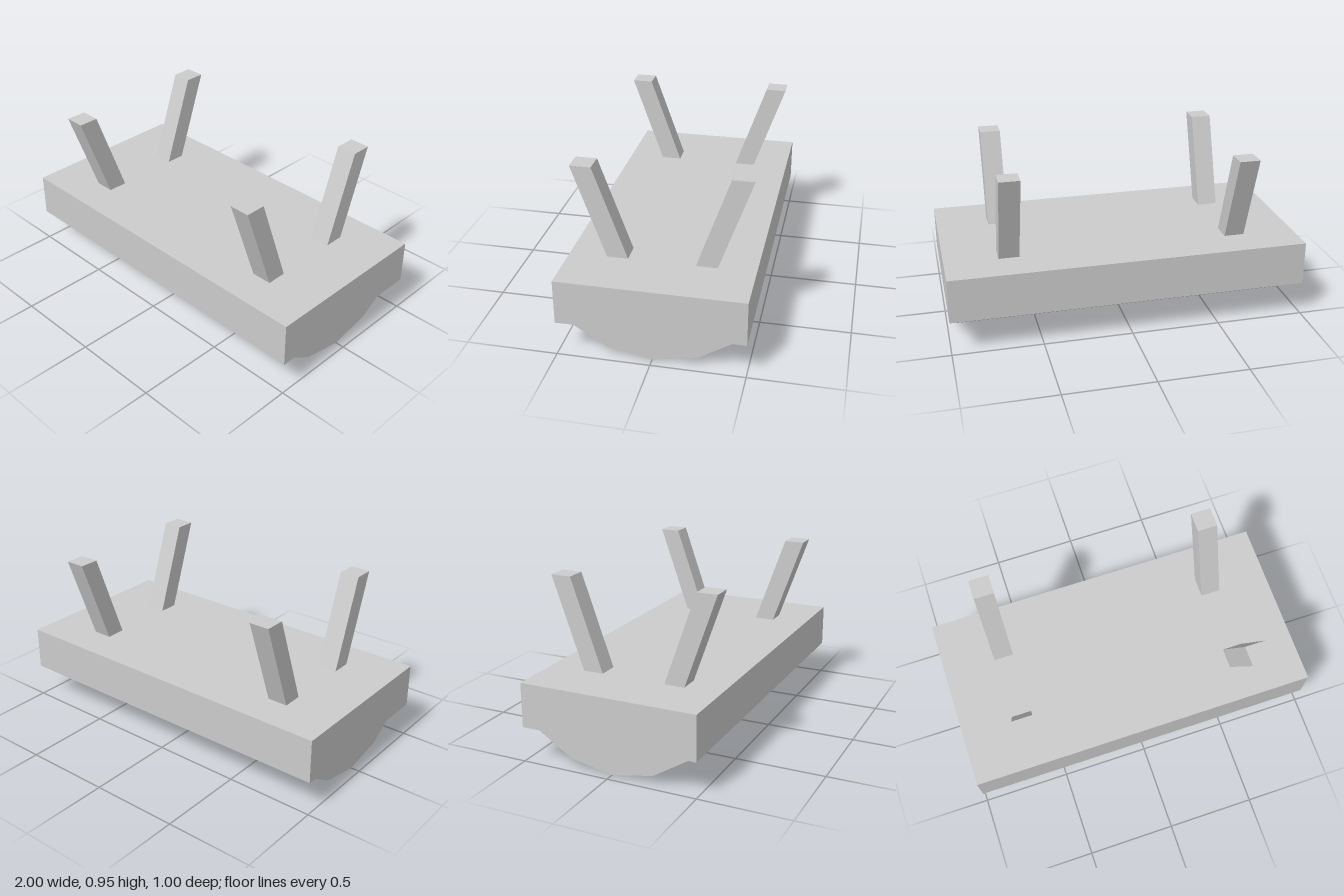
import * as THREE from 'three';

const material = new THREE.MeshStandardMaterial({ color: 0xcccccc, flatShading: true });

// Extrudes a (z, y) outline along x, centred on x = 0
function extrudeAlongX(name, outline, width) {
  const shape = new THREE.Shape(outline.map(([z, y]) => new THREE.Vector2(z, y)));
  const geometry = new THREE.ExtrudeGeometry(shape, { depth: width, bevelEnabled: false });
  geometry.translate(0, 0, -width / 2).rotateY(-Math.PI / 2);
  const mesh = new THREE.Mesh(geometry, material);
  mesh.name = name;
  return mesh;
}

export function createModel() {
  const model = new THREE.Group();
  model.name = 'slabWithPosts';
  const slabBottom = 0.195, slabTop = 0.443, postTop = 0.953;

  // Rectangular slab
  const slab = new THREE.Mesh(new THREE.BoxGeometry(2, slabTop - slabBottom, 1), material);
  slab.name = 'slab';
  slab.position.y = (slabBottom + slabTop) / 2;
  model.add(slab);

  // Faceted rounded underside
  model.add(extrudeAlongX('underside', [
    [-0.475, slabBottom], [-0.238, 0.046], [0, 0], [0.238, 0.046], [0.475, slabBottom],
  ], 1.9));

  // Four square posts leaning outward to the front and back
  for (const side of [1, -1]) {
    for (const end of [1, -1]) {
      const post = extrudeAlongX(
        `${end > 0 ? 'front' : 'back'}${side > 0 ? 'Left' : 'Right'}Post`,
        [[0.182, slabTop], [0.296, slabTop], [0.476, postTop], [0.362, postTop]]
          .map(([z, y]) => [z * end, y]),
        0.114,
      );
      post.position.x = side * 0.647;
      model.add(post);
    }
  }
  return model;
}
